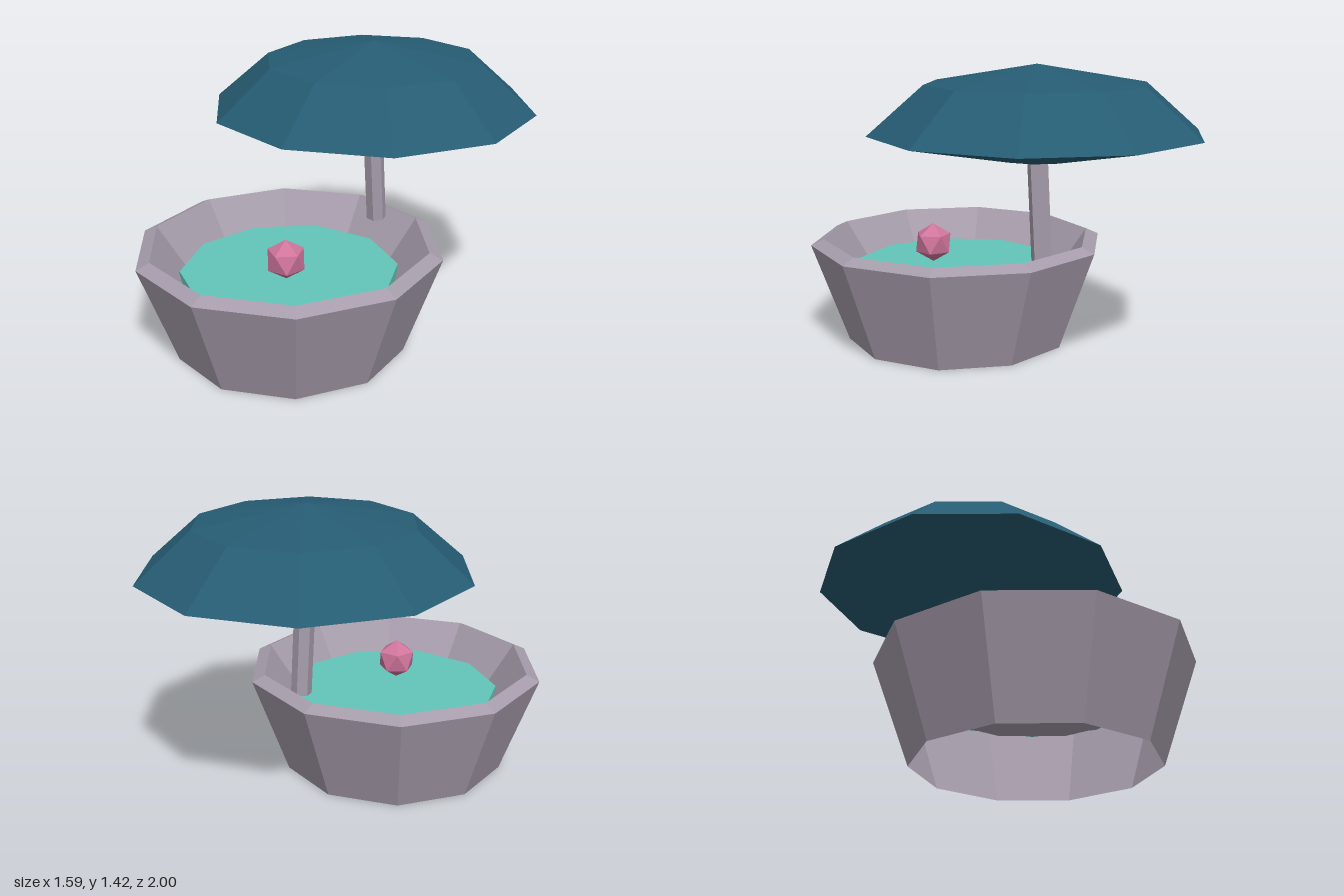
import * as THREE from 'three';

export function createModel() {
  const paint = (name, color, side = THREE.FrontSide) =>
    new THREE.MeshStandardMaterial({ name, color, side, flatShading: true });
  const stone = paint('stone', 0xa69cab, THREE.DoubleSide);
  const canopyBlue = paint('canopy blue', 0x265c73, THREE.DoubleSide);
  const waterTeal = paint('water teal', 0x62c4b8);
  const pink = paint('pink', 0xd0759c);

  const model = new THREE.Group();
  model.name = 'shadedBasin';
  const add = (name, geometry, material, x, y, z) => {
    const mesh = new THREE.Mesh(geometry, material);
    mesh.name = name;
    mesh.position.set(x, y, z);
    model.add(mesh);
    return mesh;
  };
  // Ten-sided turned shell with flat sides facing front and back
  const turned = (profile) =>
    new THREE.LatheGeometry(profile.map(([r, y]) => new THREE.Vector2(r, y)), 10)
      .rotateY(Math.PI / 10).toNonIndexed();

  // Basin: outer wall open underneath, bevelled rim, inner wall and floor
  add('basin', turned([[0.567, 0], [0.745, 0.5], [0.68, 0.53], [0.53, 0.32], [0, 0.32]]),
    stone, 0, 0, 0.29);

  // Water, a thin slab resting just above the basin floor
  add('water', new THREE.CylinderGeometry(0.53, 0.53, 0.055, 10), waterTeal, 0, 0.3525, 0.29);

  // Faceted ball standing on the water, one corner up
  add('ball', new THREE.IcosahedronGeometry(0.1, 0).rotateZ(-0.5536), pink, 0.09, 0.485, 0.38);

  // Six-sided pole leaning slightly forward
  const pole = add('pole', new THREE.CylinderGeometry(0.05, 0.05, 0.54, 6).rotateY(Math.PI / 6),
    stone, 0, 0.76, -0.264);
  pole.rotation.x = 0.064;

  // Hollow canopy with a hole underneath for the pole
  add('canopy', turned([[0.19, 0.98], [0.795, 1.1], [0.53, 1.33], [0, 1.42]]),
    canopyBlue, 0, 0, -0.244);

  return model;
}
